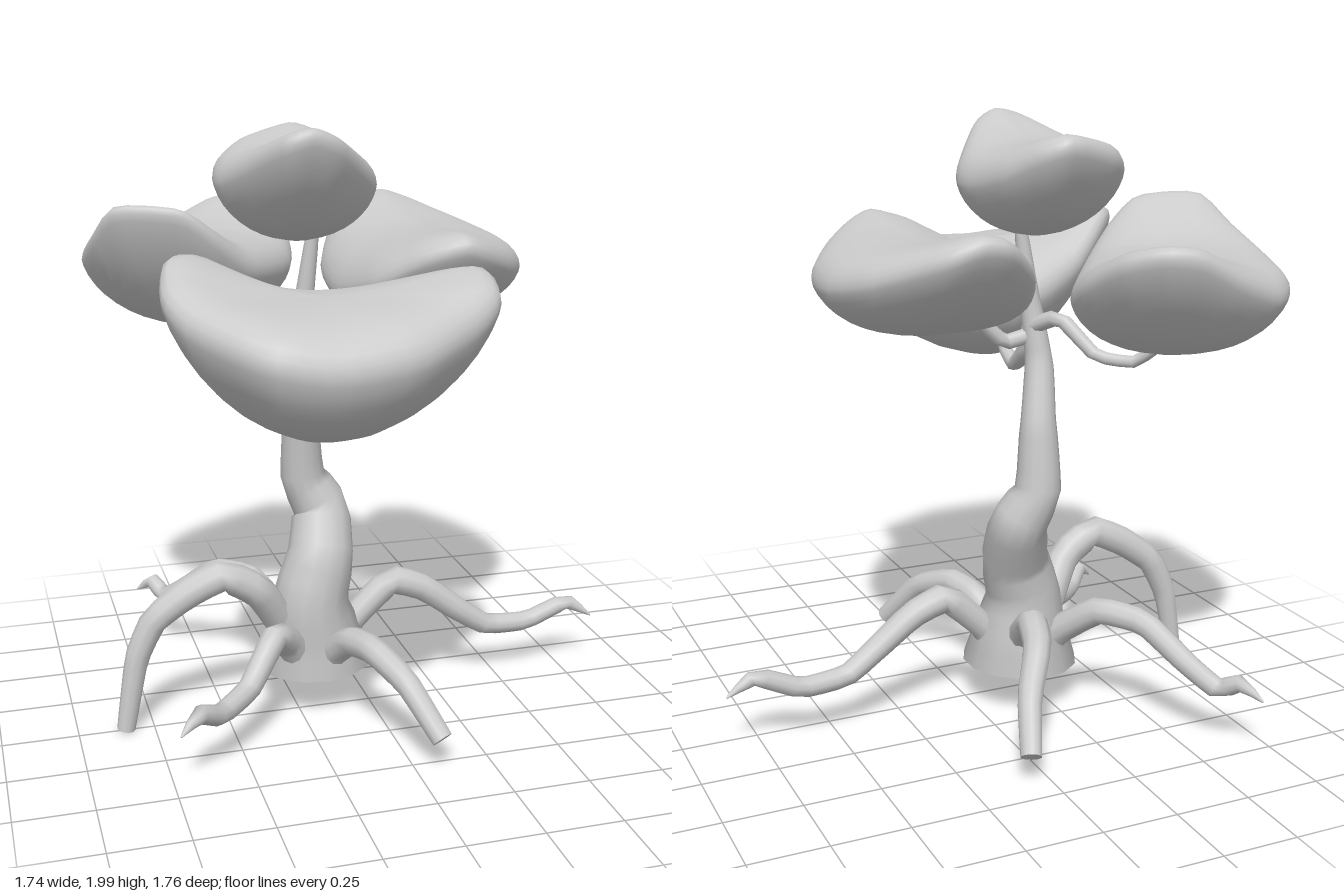
import * as THREE from 'three';

const material = new THREE.MeshStandardMaterial({ color: 0xcccccc, side: THREE.DoubleSide });
const vec = ([x, y, z]) => new THREE.Vector3(x, y, z);

// Tapered tube: each stop is [x, y, z, radius]
function limb(name, stops, sides = 10, capped = true) {
  const group = new THREE.Group();
  group.name = name;
  const curve = new THREE.CatmullRomCurve3(stops.map(vec), false, 'catmullrom', 0.2);
  const rings = (stops.length - 1) * 3;
  const geo = new THREE.TubeGeometry(curve, rings, 1, sides, false);
  const pos = geo.attributes.position;
  const p = new THREE.Vector3();
  let radius = 0;
  for (let i = 0; i <= rings; i++) {
    const c = curve.getPointAt(i / rings);
    const t = curve.getUtoTmapping(i / rings) * (stops.length - 1);
    const k = Math.min(Math.floor(t), stops.length - 2);
    radius = THREE.MathUtils.lerp(stops[k][3], stops[k + 1][3], t - k);
    for (let j = 0; j <= sides; j++) {
      const n = i * (sides + 1) + j;
      p.fromBufferAttribute(pos, n).sub(c).multiplyScalar(radius).add(c);
      pos.setXYZ(n, p.x, p.y, p.z);
    }
  }
  geo.computeBoundingSphere();
  const tube = new THREE.Mesh(geo, material);
  tube.name = name + 'Tube';
  group.add(tube);
  if (capped) {
    const cap = new THREE.Mesh(new THREE.CircleGeometry(radius, sides), material);
    cap.name = name + 'End';
    cap.position.copy(curve.getPointAt(1));
    cap.quaternion.setFromUnitVectors(new THREE.Vector3(0, 0, 1), curve.getTangentAt(1));
    group.add(cap);
  }
  return group;
}

// Saddle-topped pad with a rolled edge and round belly; rim runs clockwise seen from above
function leafPad(name, centre, thickness, roll, rim) {
  const around = 44, steps = 10;
  const curve = new THREE.CatmullRomCurve3(rim.map(vec), true, 'catmullrom', 0.35);
  const [cx, cy, cz] = centre;
  const pos = [], index = [];
  for (let i = 0; i <= steps * 2; i++) {
    const r = Math.sin((i / (steps * 2)) * Math.PI);
    const drop = i > steps
      ? roll + (thickness - roll) * Math.pow(1 - r * r, 0.66)
      : roll * (1 - Math.sqrt(Math.max(0, 1 - r ** 8)));
    for (let j = 0; j < around; j++) {
      const q = curve.getPoint(j / around);
      pos.push(cx + (q.x - cx) * r, cy + (q.y + roll - cy) * r * r - drop, cz + (q.z - cz) * r);
      if (i === steps * 2) continue;
      const a = i * around + j, d = i * around + ((j + 1) % around);
      index.push(a, d + around, a + around, a, d, d + around);
    }
  }
  const geo = new THREE.BufferGeometry();
  geo.setAttribute('position', new THREE.Float32BufferAttribute(pos, 3));
  geo.setIndex(index);
  geo.computeVertexNormals();
  const mesh = new THREE.Mesh(geo, material);
  mesh.name = name;
  return mesh;
}

export function createModel() {
  const model = new THREE.Group();
  model.name = 'tree';

  // Trunk, open and flared at the foot
  model.add(limb('trunk', [
    [-0.175, 0.15, -0.07, 0.197], [-0.178, 0.25, -0.07, 0.165], [-0.19, 0.38, -0.065, 0.13],
    [-0.15, 0.52, -0.08, 0.115], [-0.127, 0.67, -0.155, 0.098], [-0.185, 0.79, -0.178, 0.078],
    [-0.195, 1.0, -0.155, 0.06], [-0.22, 1.2, -0.105, 0.046], [-0.2, 1.4, -0.075, 0.034],
    [-0.17, 1.64, -0.06, 0.02],
  ], 14, false));

  // Roots spreading from inside the foot
  const roots = {
    leftRoot: [[-0.09, 0.15, -0.07, 0.035], [-0.04, 0.28, -0.07, 0.045], [0.1, 0.41, -0.07, 0.05],
      [0.22, 0.37, -0.07, 0.046], [0.34, 0.28, -0.07, 0.042], [0.46, 0.2, -0.08, 0.037],
      [0.62, 0.19, -0.09, 0.034], [0.77, 0.25, -0.08, 0.03], [0.865, 0.19, -0.07, 0.003]],
    frontLeftRoot: [[-0.15, 0.14, 0.01, 0.035], [-0.14, 0.23, 0.07, 0.05], [-0.11, 0.3, 0.15, 0.05],
      [-0.07, 0.32, 0.28, 0.046], [0, 0.26, 0.43, 0.042], [0.08, 0.11, 0.555, 0.036]],
    frontRightRoot: [[-0.23, 0.14, -0.01, 0.035], [-0.29, 0.27, 0.05, 0.055], [-0.36, 0.335, 0.13, 0.045],
      [-0.47, 0.21, 0.23, 0.038], [-0.59, 0.19, 0.35, 0.034], [-0.665, 0.235, 0.42, 0.03],
      [-0.73, 0.185, 0.455, 0.003]],
    rightRoot: [[-0.26, 0.15, -0.06, 0.035], [-0.31, 0.33, -0.03, 0.055], [-0.39, 0.46, 0.02, 0.055],
      [-0.51, 0.53, 0.03, 0.054], [-0.63, 0.475, 0.02, 0.052], [-0.74, 0.39, 0.01, 0.046],
      [-0.8, 0.26, 0.005, 0.04], [-0.845, 0.01, 0.005, 0.03]],
    backRightRoot: [[-0.22, 0.14, -0.14, 0.035], [-0.26, 0.27, -0.18, 0.05], [-0.35, 0.38, -0.31, 0.046],
      [-0.45, 0.37, -0.44, 0.042], [-0.53, 0.27, -0.57, 0.037], [-0.6, 0.2, -0.66, 0.034],
      [-0.64, 0.24, -0.73, 0.028], [-0.69, 0.19, -0.79, 0.003]],
    backLeftRoot: [[-0.14, 0.14, -0.14, 0.035], [-0.13, 0.29, -0.19, 0.05], [-0.1, 0.38, -0.32, 0.05],
      [-0.06, 0.35, -0.44, 0.046], [0.02, 0.24, -0.55, 0.04], [0.07, 0.1, -0.665, 0.034]],
  };
  for (const name in roots) model.add(limb(name, roots[name]));

  // Thin branches carrying the side pads
  const branches = {
    frontBranch: [[-0.2, 1.32, -0.08, 0.03], [-0.2, 1.22, -0.03, 0.028], [-0.21, 1.16, 0.06, 0.026],
      [-0.22, 1.19, 0.15, 0.024], [-0.24, 1.28, 0.26, 0.02]],
    backBranch: [[-0.2, 1.32, -0.09, 0.028], [-0.25, 1.36, -0.19, 0.026], [-0.33, 1.25, -0.29, 0.022],
      [-0.42, 1.24, -0.38, 0.02], [-0.48, 1.32, -0.47, 0.016]],
    leftBranch: [[-0.2, 1.29, -0.08, 0.028], [-0.11, 1.27, -0.07, 0.026], [-0.03, 1.34, -0.07, 0.024],
      [0.08, 1.45, -0.08, 0.02]],
  };
  for (const name in branches) model.add(limb(name, branches[name], 8));

  // Leaf pads
  model.add(
    leafPad('topPad', [-0.22, 1.92, -0.06], 0.305, 0.07, [
      [-0.15, 1.92, -0.465], [-0.06, 1.89, -0.41], [0, 1.83, -0.28], [0.028, 1.79, -0.09],
      [0.01, 1.8, 0.05], [-0.16, 1.92, 0.3], [-0.26, 1.965, 0.35], [-0.35, 1.94, 0.33],
      [-0.44, 1.86, 0.14], [-0.49, 1.81, -0.02], [-0.46, 1.82, -0.21], [-0.35, 1.87, -0.37]]),
    leafPad('leftPad', [0.22, 1.645, -0.12], 0.305, 0.07, [
      [0.22, 1.67, -0.65], [0.33, 1.63, -0.61], [0.48, 1.55, -0.4], [0.54, 1.51, -0.19],
      [0.515, 1.51, 0.02], [0.4, 1.55, 0.23], [0.28, 1.6, 0.36], [0.19, 1.63, 0.4],
      [0.07, 1.59, 0.34], [-0.045, 1.5, 0.19], [-0.09, 1.44, -0.08], [-0.07, 1.47, -0.35],
      [0, 1.56, -0.51], [0.12, 1.65, -0.63]]),
    leafPad('frontPad', [-0.27, 1.535, 0.49], 0.42, 0.09, [
      [-0.75, 1.54, 0.5], [-0.72, 1.6, 0.34], [-0.64, 1.59, 0.23], [-0.48, 1.45, 0.14],
      [-0.25, 1.36, 0.075], [-0.04, 1.4, 0.16], [0.14, 1.5, 0.34], [0.235, 1.55, 0.48],
      [0.21, 1.51, 0.64], [0.1, 1.45, 0.73], [-0.1, 1.4, 0.85], [-0.34, 1.38, 0.875],
      [-0.54, 1.42, 0.84], [-0.7, 1.48, 0.63]]),
    leafPad('backPad', [-0.5, 1.605, -0.46], 0.325, 0.07, [
      [-0.87, 1.52, -0.45], [-0.82, 1.48, -0.63], [-0.69, 1.48, -0.76], [-0.5, 1.55, -0.85],
      [-0.34, 1.63, -0.885], [-0.23, 1.645, -0.855], [-0.15, 1.61, -0.75], [-0.125, 1.53, -0.58],
      [-0.16, 1.47, -0.43], [-0.34, 1.5, -0.17], [-0.48, 1.61, -0.07], [-0.6, 1.7, -0.05],
      [-0.8, 1.71, -0.12], [-0.855, 1.61, -0.25]]),
  );
  return model;
}
